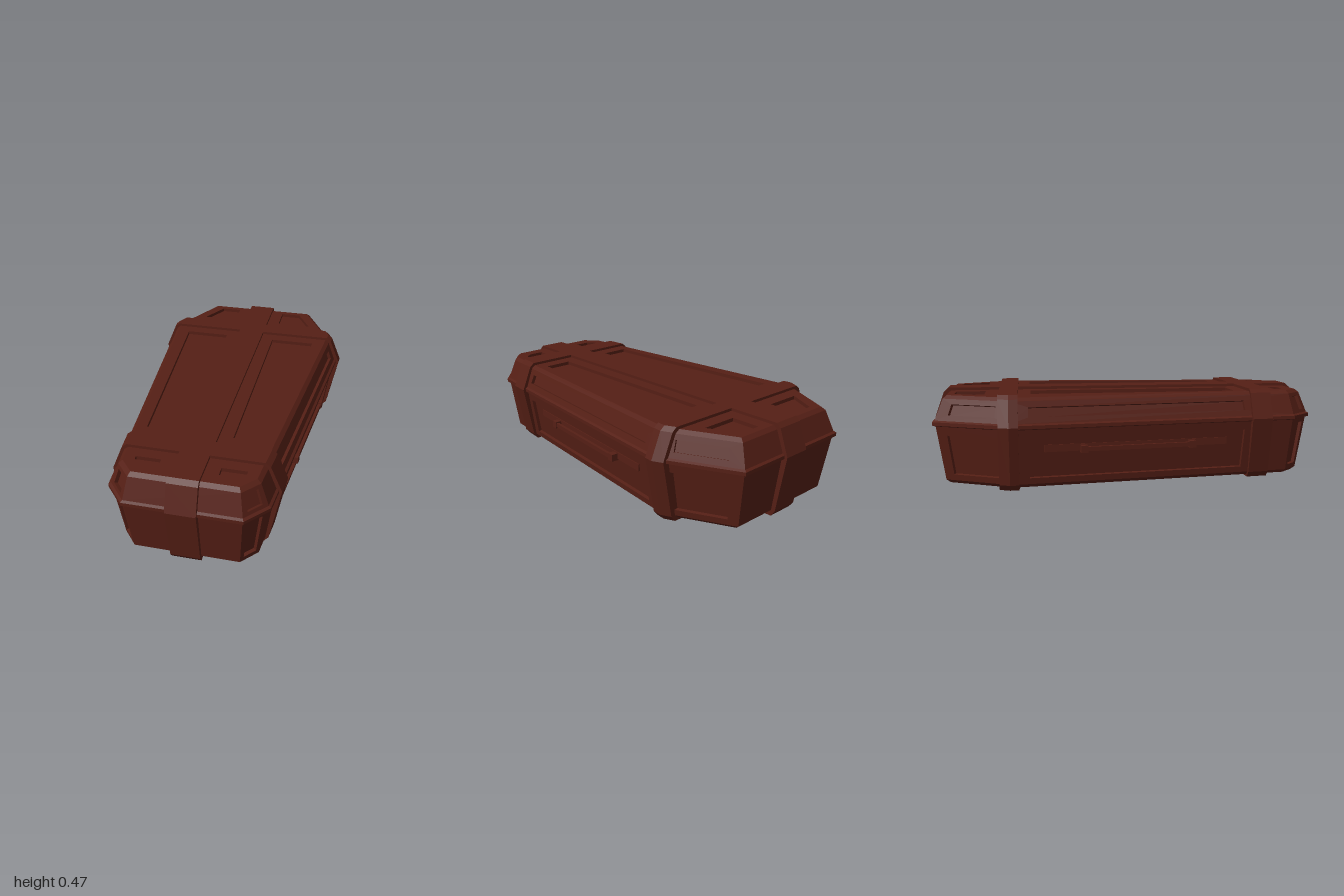
import * as THREE from 'three';

const material = new THREE.MeshStandardMaterial({ color: 0x551f15, flatShading: true });
const V = (x, y, z) => new THREE.Vector3(x, y, z);

// Half outline of the rim, foot end (+z) to head end (-z)
const HALF = [[0.28, 0.985], [0.38, 0.87], [0.53, -0.61], [0.34, -0.985]];
const OUTLINE = [...HALF, ...HALF.map(([x, z]) => [-x, z]).reverse()];
const RECESS = 0.018;

// Outline moved inwards by a distance, at height y
function loop(inset, y) {
  const n = OUTLINE.length;
  const lines = OUTLINE.map(([x, z], i) => {
    const [x2, z2] = OUTLINE[(i + 1) % n];
    const l = Math.hypot(x2 - x, z2 - z);
    const nx = -(z2 - z) / l, nz = (x2 - x) / l;
    return [nx, nz, nx * x + nz * z - inset];
  });
  return lines.map(([a, b, c], i) => {
    const [d, e, f] = lines[(i + n - 1) % n];
    const det = a * e - b * d;
    return V((c * e - b * f) / det, y, (a * f - c * d) / det);
  });
}

// Flat convex face, optionally with sunken panels
function face(out, pts, panels = []) {
  const u = pts[1].clone().sub(pts[0]).normalize();
  const n = u.clone().cross(pts[2].clone().sub(pts[0])).normalize();
  const frame = new THREE.Matrix4().makeBasis(u, n.clone().cross(u), n).setPosition(pts[0]);
  const inverse = frame.clone().invert();
  const flat = list => list.map(p => {
    const q = p.clone().applyMatrix4(inverse);
    return new THREE.Vector2(q.x, q.y);
  });
  const push = (x, y, z) => out.push(...V(x, y, z).applyMatrix4(frame).toArray());
  const fill = (contour, holes, z) => {
    const all = [contour, ...holes].flat();
    for (const tri of THREE.ShapeUtils.triangulateShape(contour, holes))
      for (const i of tri) push(all[i].x, all[i].y, z);
  };
  const holes = panels.map(p => {
    const h = flat(p);
    return THREE.ShapeUtils.isClockWise(h) ? h.reverse() : h;
  });
  fill(flat(pts), holes, 0);
  for (const h of holes) {
    fill(h, [], -RECESS);
    h.forEach((a, i) => {
      const b = h[(i + 1) % h.length];
      push(a.x, a.y, 0); push(b.x, b.y, 0); push(b.x, b.y, -RECESS);
      push(a.x, a.y, 0); push(b.x, b.y, -RECESS); push(a.x, a.y, -RECESS);
    });
  }
}

// Stacked loops joined by flat walls; panelFor gives [s0, s1, t0, t1] for a wall
function walls(out, loops, panelFor = () => null) {
  for (let k = 0; k + 1 < loops.length; k++) {
    loops[k].forEach((a, i) => {
      const j = (i + 1) % loops[k].length;
      const b = loops[k][j], c = loops[k + 1][j], d = loops[k + 1][i];
      const at = (s, t) => a.clone().lerp(b, s).lerp(d.clone().lerp(c, s), t);
      const p = panelFor(k, i);
      face(out, [a, b, c, d],
        p ? [[at(p[0], p[2]), at(p[1], p[2]), at(p[1], p[3]), at(p[0], p[3])]] : []);
    });
  }
}

function meshOf(name, positions) {
  const g = new THREE.BufferGeometry();
  g.setAttribute('position', new THREE.Float32BufferAttribute(positions, 3));
  g.computeVertexNormals();
  const m = new THREE.Mesh(g, material);
  m.name = name;
  return m;
}

// Panels on foot corner, long side and shoulder walls, mirrored to the other side
function sidePanels(list) {
  return i => {
    if (i < 3) return list[i];
    if (i < 4 || i > 6) return null;
    const [s0, s1, t0, t1] = list[6 - i];
    return [1 - s1, 1 - s0, t0, t1];
  };
}

function box(name, size, x, z) {
  const m = new THREE.Mesh(new THREE.BoxGeometry(...size), material);
  m.name = name;
  m.position.set(x, 0, z);
  return m;
}

// Cross strap: the body's section swept through stations [z, half width]
const STRAP = [[0.08, 0], [0.055, 0.03], [0, 0.32], [0.055, 0.45], [0.08, 0.47]];
function crossStrap(name, stations) {
  const out = [];
  const sections = stations.map(([z, h]) => [
    ...STRAP.map(([i, y]) => V(h - i, y, z)),
    ...STRAP.map(([i, y]) => V(i - h, y, z)).reverse(),
  ]);
  walls(out, sections);
  face(out, [...sections[0]].reverse());
  face(out, sections[sections.length - 1]);
  return meshOf(name, out);
}

export function createModel() {
  const group = new THREE.Group();
  group.name = 'coffin';

  // Lower box with panelled sides
  const base = [];
  const baseLoops = [[0.075, 0.012], [0.055, 0.03], [0.016, 0.305]].map(p => loop(...p));
  const basePanels = sidePanels([[0.18, 0.82, 0.09, 0.92], [0.18, 0.94, 0.11, 0.84], [0.15, 0.86, 0.11, 0.84]]);
  walls(base, baseLoops, (k, i) => (k === 1 ? basePanels(i) : null));
  face(base, [...baseLoops[0]].reverse());
  group.add(meshOf('box', base));

  // Lid with rim, sloping panelled sides and panelled top
  const lid = [];
  const lidLoops = [[0.016, 0.305], [0, 0.311], [0, 0.328], [0.012, 0.335], [0.052, 0.44], [0.072, 0.456]]
    .map(p => loop(...p));
  const lidPanels = sidePanels([[0.2, 0.8, 0.16, 0.84], [0.18, 0.94, 0.28, 0.72], [0.2, 0.84, 0.26, 0.76]]);
  walls(lid, lidLoops, (k, i) => (k === 3 ? lidPanels(i) : null));
  const topPanels = [
    [[0.14, -0.73], [0.33, -0.73], [0.25, -0.88], [0.14, -0.88]],
    [[0.14, -0.5], [0.38, -0.5], [0.29, 0.56], [0.14, 0.56]],
    [[0.14, 0.8], [0.26, 0.8], [0.26, 0.82], [0.22, 0.85], [0.14, 0.85]],
  ];
  face(lid, lidLoops[5], [1, -1].flatMap(s => topPanels.map(p => p.map(([x, z]) => V(s * x, 0.456, z)))));
  group.add(meshOf('lid', lid));

  // Straps across the shoulders and the foot
  group.add(crossStrap('shoulderStrap', [[-0.662, 0.52], [-0.61, 0.545], [-0.565, 0.541]]));
  group.add(crossStrap('footStrap', [[0.63, 0.419], [0.74, 0.408]]));

  // Strap running head to foot
  const side = STRAP.map(([i, y]) => [1 - (i * 0.07) / 0.08, y]);
  const ring = x => [...side.map(([z, y]) => V(x, y, -z)), ...side.map(([z, y]) => V(x, y, z)).reverse()];
  const long = [];
  walls(long, [ring(-0.072), ring(0.072)]);
  face(long, ring(-0.072).reverse());
  face(long, ring(0.072));
  group.add(meshOf('lengthwiseStrap', long));

  // Carrying handles in the long side panels
  for (const s of [1, -1]) {
    const handle = new THREE.Group();
    handle.name = s > 0 ? 'leftHandle' : 'rightHandle';
    handle.position.set(s * 0.416, 0.2, 0.03);
    handle.rotation.y = -s * 0.101;
    const plate = box('handlePlate', [0.016, 0.036, 0.95], 0, 0);
    plate.position.y = 0.006;
    handle.add(plate);
    for (const z of [0.28, -0.28])
      handle.add(box('handleMount', [0.05, 0.036, 0.035], s * 0.017, z));
    handle.add(box('handleBar', [0.016, 0.022, 0.56], s * 0.03, 0));
    group.add(handle);
  }
  return group;
}
